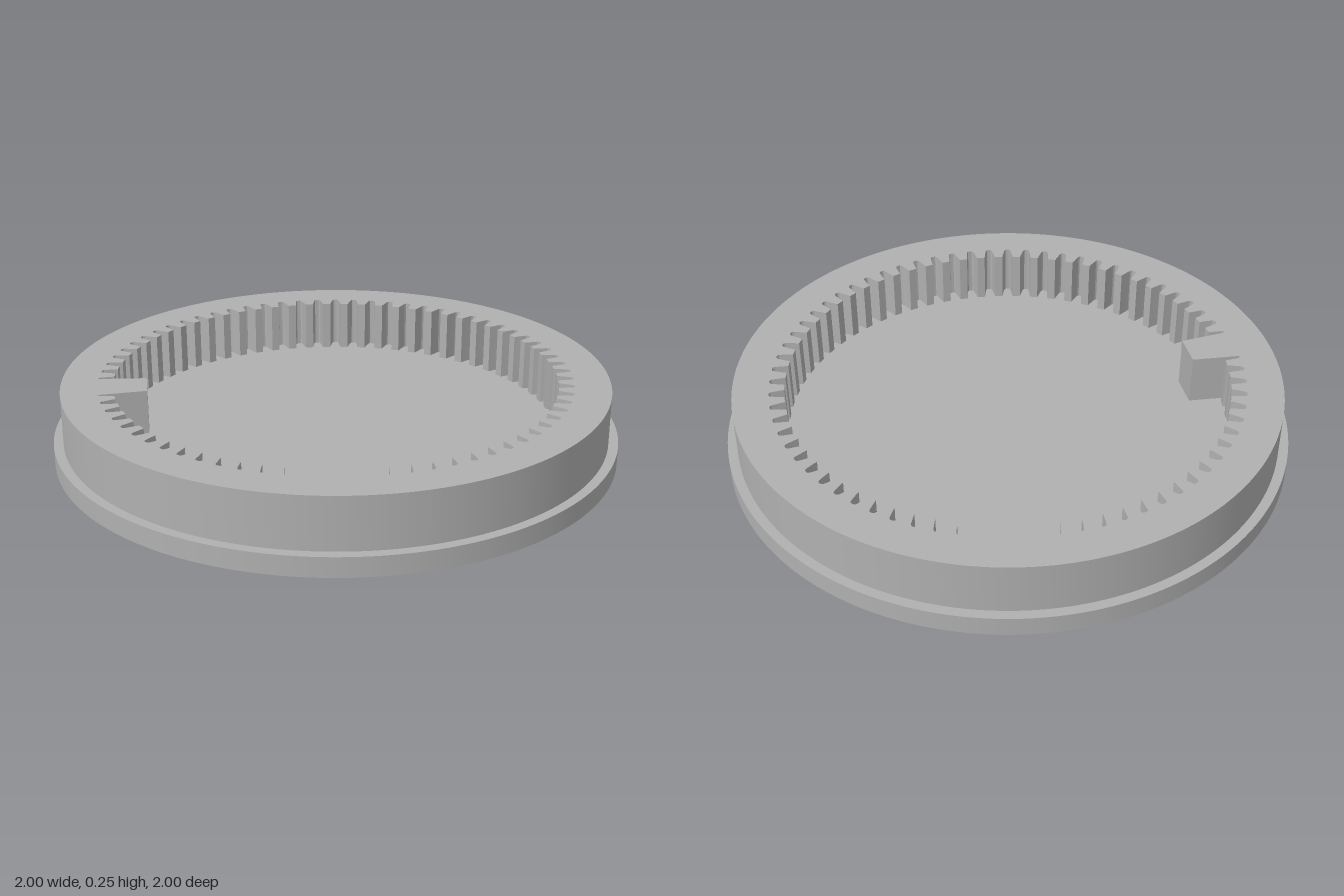
import * as THREE from 'three';
import { toCreasedNormals } from 'three/addons/utils/BufferGeometryUtils.js';

const BASE_HEIGHT = 0.07;
const TOTAL_HEIGHT = 0.255;
const TEETH = 70;
const PITCH = (Math.PI * 2) / TEETH;

// Extrudes a plan shape upwards from height y
function slab(shape, y, height) {
  const geometry = new THREE.ExtrudeGeometry(shape, {
    depth: height, bevelEnabled: false, curveSegments: 120,
  });
  geometry.rotateX(-Math.PI / 2);
  geometry.translate(0, y, 0);
  return toCreasedNormals(geometry, 0.4);
}

function disc(radius) {
  return new THREE.Shape().absarc(0, 0, radius, 0, Math.PI * 2, false);
}

// Inner outline: tooth gaps all round, with one wide stop block at -x
function gearOutline() {
  // One tooth gap: [offset in pitches, radius]
  const gap = [
    [-0.29, 0.784], [-0.25, 0.8], [-0.2, 0.818], [-0.16, 0.832], [-0.1, 0.838],
    [0, 0.839],
    [0.1, 0.838], [0.16, 0.832], [0.2, 0.818], [0.25, 0.8], [0.29, 0.784],
  ];
  const points = [];
  const add = (pitches, radius) => {
    const angle = Math.PI + pitches * PITCH;
    points.push(new THREE.Vector2(Math.cos(angle) * radius, Math.sin(angle) * radius));
  };
  add(-1, 0.669);
  add(1, 0.669);
  for (let k = 1; k < TEETH; k++) {
    for (const [offset, radius] of gap) {
      // The gaps beside the block are cut in half by its sides
      if (k === 1 && offset < 0) continue;
      if (k === TEETH - 1 && offset > 0) continue;
      add(k + offset, radius);
    }
  }
  return new THREE.Path(points);
}

export function createModel() {
  const model = new THREE.Group();
  model.name = 'internalRingGear';
  const grey = new THREE.MeshStandardMaterial({ color: 0xb0b0b0 });
  grey.name = 'grey';

  // Base plate with four screw holes, closed above by the ring
  const plate = disc(1);
  for (let i = 0; i < 4; i++) {
    const angle = Math.PI / 4 + (i * Math.PI) / 2;
    plate.holes.push(new THREE.Path().absarc(
      Math.cos(angle) * 0.9, Math.sin(angle) * 0.9, 0.027, 0, Math.PI * 2, true));
  }
  const base = new THREE.Mesh(slab(plate, 0, BASE_HEIGHT), grey);
  base.name = 'basePlate';

  // Toothed ring with its stop block
  const rim = disc(0.966);
  rim.holes.push(gearOutline());
  const ring = new THREE.Mesh(slab(rim, BASE_HEIGHT, TOTAL_HEIGHT - BASE_HEIGHT), grey);
  ring.name = 'toothedRing';

  model.add(base, ring);
  return model;
}
